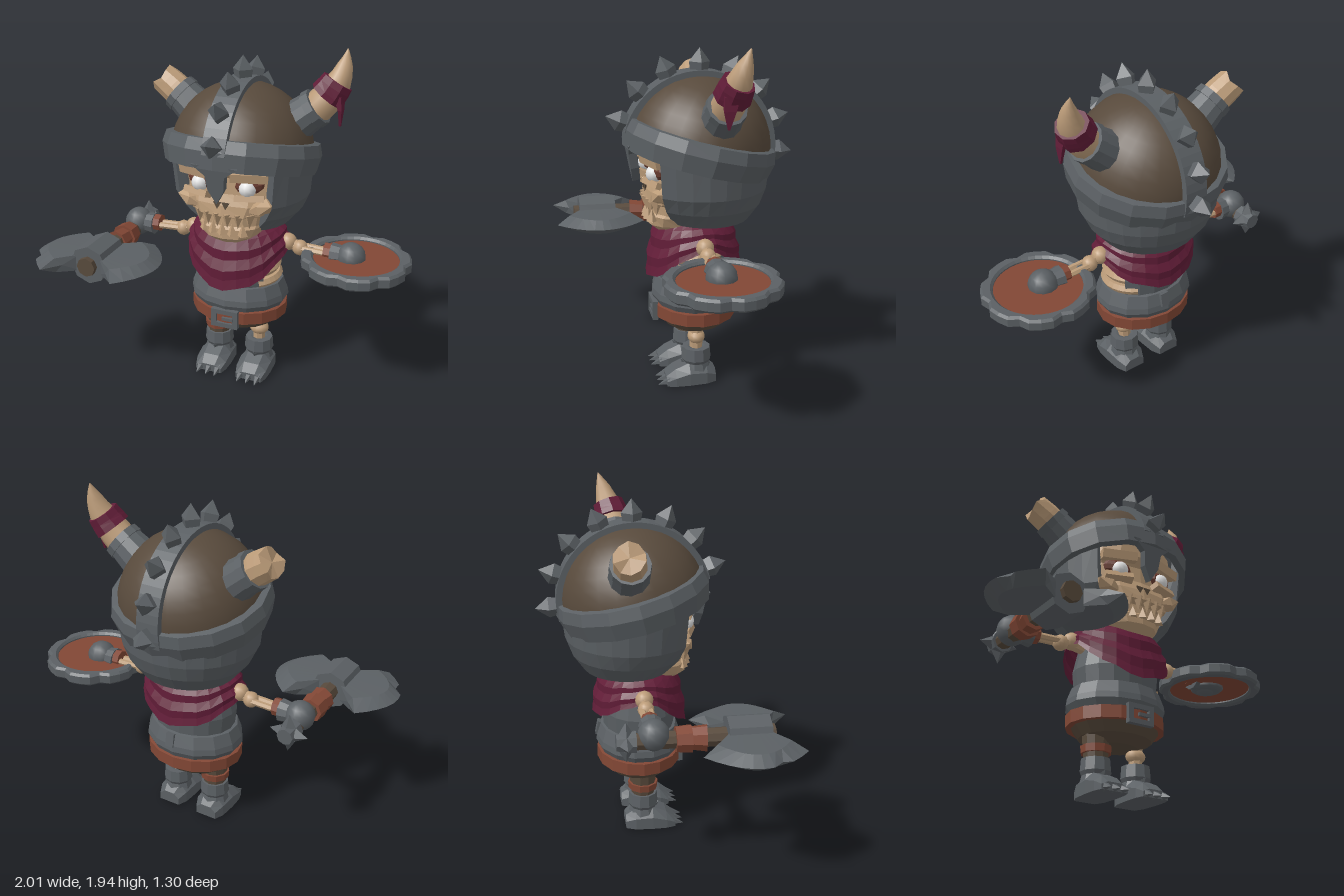
import * as THREE from 'three';

const mat = (name, color, side = THREE.FrontSide) => {
  const m = new THREE.MeshStandardMaterial({ color, side });
  m.name = name;
  return m;
};
const V = (x, y, z) => new THREE.Vector3(x, y, z);

export function createModel() {
  const steel = mat('steel', 0x5b6064), hide = mat('dark hide', 0x584a3c), bone = mat('bone', 0xbc9c79);
  const leather = mat('leather', 0x824735), cloth = mat('wine cloth', 0x621d38, THREE.DoubleSide);
  const white = mat('eye white', 0xe4e4e4), socket = mat('socket', 0x6a3c30);

  const root = new THREE.Group();
  root.name = 'skeletonWarrior';
  const body = new THREE.Group();
  body.name = 'body';
  body.position.x = 0.025;
  root.add(body);

  const add = (parent, name, geo, m, pos = [0, 0, 0], rot = [0, 0, 0], scale = [1, 1, 1], smooth = false) => {
    if (!smooth) {
      geo = geo.index ? geo.toNonIndexed() : geo;
      geo.computeVertexNormals();
    }
    const mesh = new THREE.Mesh(geo, m);
    mesh.name = name;
    mesh.position.set(...pos);
    mesh.rotation.set(...rot);
    mesh.scale.set(...scale);
    parent.add(mesh);
    return mesh;
  };
  const lathe = (pts, n = 16, start = 0, len = Math.PI * 2) =>
    new THREE.LatheGeometry(pts.map(p => new THREE.Vector2(...p)), n, start, len);
  const rod = (parent, name, a, b, r1, r2, m, sides = 8) => {
    const A = V(...a), B = V(...b), mesh = add(parent, name, new THREE.CylinderGeometry(r2, r1, A.distanceTo(B), sides), m);
    mesh.position.copy(A).lerp(B, 0.5);
    mesh.quaternion.setFromUnitVectors(V(0, 1, 0), B.sub(A).normalize());
    return mesh;
  };
  const ball = (parent, name, pos, r, m, scale) =>
    add(parent, name, new THREE.SphereGeometry(r, 12, 8), m, pos, [0, 0, 0], scale, true);

  // Skin closed rings of points; capped solids are turned outwards by their volume
  const loft = (rings, caps = true) => {
    const n = rings[0].length, P = rings.flat().map(p => V(...p)), idx = [];
    for (let i = 0; i < rings.length - 1; i++) for (let j = 0; j < n; j++) {
      const a = i * n + j, b = i * n + (j + 1) % n;
      idx.push(a, b, a + n, b, b + n, a + n);
    }
    if (caps) for (const [o, flip] of [[0, true], [(rings.length - 1) * n, false]]) {
      const c = V(0, 0, 0);
      for (let j = 0; j < n; j++) c.addScaledVector(P[o + j], 1 / n);
      P.push(c);
      for (let j = 0; j < n; j++) {
        const a = o + j, b = o + (j + 1) % n;
        idx.push(...(flip ? [b, a] : [a, b]), P.length - 1);
      }
    }
    let vol = 0;
    for (let i = 0; i < idx.length; i += 3) vol += P[idx[i]].dot(P[idx[i + 1]].clone().cross(P[idx[i + 2]]));
    if (vol < 0) idx.reverse();
    const g = new THREE.BufferGeometry().setFromPoints(P);
    g.setIndex(idx);
    g.computeVertexNormals();
    return g;
  };
  // Round tube with a radius at each path point
  const taper = (pts, radii, sides = 10, steps = 8, jag = 0) => {
    const curve = new THREE.CatmullRomCurve3(pts.map(p => V(...p))), rings = [];
    for (let i = 0; i <= steps; i++) {
      const t = i / steps, f = t * (radii.length - 1), k = Math.min(Math.floor(f), radii.length - 2);
      const r = THREE.MathUtils.lerp(radii[k], radii[k + 1], f - k), c = curve.getPoint(t), T = curve.getTangent(t);
      const N = V(0, 0, 1).cross(T).normalize(), B = T.clone().cross(N);
      rings.push(Array.from({ length: sides }, (_, j) => {
        const a = j / sides * Math.PI * 2, p = c.clone().addScaledVector(N, r * Math.cos(a)).addScaledVector(B, r * Math.sin(a));
        return p.addScaledVector(T, i === steps ? jag * (j % 3 - 1) : 0).toArray();
      }));
    }
    return loft(rings);
  };

  // Helmet: tilted crown with brim, ridge and spikes
  const helmet = new THREE.Group();
  helmet.name = 'helmet';
  helmet.position.set(0, 1.34, -0.11);
  helmet.rotation.x = -0.25;
  body.add(helmet);
  add(helmet, 'crown', new THREE.SphereGeometry(0.4, 24, 10, 0, Math.PI * 2, 0, Math.PI / 2), hide, [0, 0, 0], [0, 0, 0], [1, 1, 1], true);
  add(helmet, 'brim', lathe([[0.385, -0.075], [0.425, -0.075], [0.447, 0.02], [0.43, 0.085], [0.385, 0.09], [0.385, -0.075]]), steel, [0, 0, 0], [0, 0, 0], [1, 1, 0.97]);
  const arch = new THREE.Shape();
  arch.absarc(0, 0, 0.425, 0, Math.PI);
  arch.absarc(0, 0, 0.37, Math.PI, 0, true);
  add(helmet, 'ridge', new THREE.ExtrudeGeometry(arch, { depth: 0.13, bevelEnabled: false, curveSegments: 14 }), steel, [0.065, 0, 0], [0, -Math.PI / 2, 0]);
  for (let i = 0; i < 8; i++) {
    const a = (6 + i * 23.5) * Math.PI / 180;
    add(helmet, 'ridgeSpike', lathe([[0, -0.03], [0.045, -0.02], [0.058, 0.05], [0, 0.125]], 4), steel,
      [0, 0.415 * Math.sin(a), 0.415 * Math.cos(a)], [Math.PI / 2 - a, 0, 0]);
  }

  // Cheek and neck guard wrapping the back, open at the face
  const guardRows = [[0.405, 1.36, 46], [0.385, 1.13, 44], [0.345, 1.04, 40], [0.27, 0.95, 33]];
  const guard = [];
  for (let i = 0; i <= 20; i++) {
    const pt = ([r, y, open], row, inset) => {
      const a = (open + i / 20 * (360 - 2 * open)) * Math.PI / 180, z = (r - inset) * (0.97 - 0.02 * row) * Math.cos(a);
      return [(r - inset) * Math.sin(a), y + (row === 0 ? 0.25 * z : 0), -0.115 - 0.012 * row + z];
    };
    guard.push([...guardRows.map((g, k) => pt(g, k, 0)), ...guardRows.map((g, k) => pt(g, k, 0.05)).reverse()]);
  }
  add(body, 'neckGuard', loft(guard), steel);
  const nose = new THREE.Shape([[-0.13, 0.225], [-0.055, 0.165], [-0.045, 0.08], [0, 0], [0.045, 0.08], [0.055, 0.165], [0.13, 0.225]].map(p => new THREE.Vector2(...p)));
  add(body, 'noseGuard', new THREE.ExtrudeGeometry(nose, { depth: 0.045, bevelEnabled: false }), steel, [0, 1.17, 0.21], [0.17, 0, 0]);

  // Horns: one whole with a cloth wrap, one broken
  for (const s of [-1, 1]) {
    rod(body, 'hornCollar', [s * 0.25, 1.5, -0.16], [s * 0.39, 1.615, -0.17], 0.12, 0.1, steel, 12);
    rod(body, 'hornCollarRim', [s * 0.375, 1.603, -0.168], [s * 0.41, 1.63, -0.17], 0.11, 0.106, steel, 12);
  }
  add(body, 'wholeHorn', taper([[0.36, 1.58, -0.165], [0.44, 1.66, -0.175], [0.505, 1.76, -0.2], [0.53, 1.85, -0.225], [0.535, 1.93, -0.25]], [0.09, 0.087, 0.07, 0.042, 0.003]), bone, [0, 0, 0], [0, 0, 0], [1, 1, 1], true);
  add(body, 'brokenHorn', taper([[-0.36, 1.585, -0.165], [-0.43, 1.64, -0.175], [-0.505, 1.69, -0.185]], [0.088, 0.088, 0.083], 10, 4, 0.014), bone);
  add(body, 'hornWrap', taper([[0.452, 1.685, -0.18], [0.478, 1.72, -0.187], [0.503, 1.765, -0.2]], [0.1, 0.096, 0.088], 9, 3), cloth);
  add(body, 'wrapTail', loft([[[0.5, 1.72, -0.12], [0.545, 1.7, -0.12], [0.545, 1.7, -0.2], [0.5, 1.72, -0.2]], [[0.53, 1.63, -0.12], [0.55, 1.63, -0.12], [0.55, 1.63, -0.18], [0.53, 1.63, -0.18]], [[0.535, 1.54, -0.14], [0.545, 1.54, -0.14], [0.545, 1.54, -0.15], [0.535, 1.54, -0.15]]]), cloth);

  // Skull with sockets, eyes, nose hole and jagged teeth
  const sp = (v, e) => Math.sign(v) * Math.abs(v) ** e;
  const skullRows = [[0.89, 0.12, 0.13], [0.93, 0.17, 0.18], [0.985, 0.2, 0.18], [1.0, 0.2, 0.16], [1.05, 0.21, 0.16], [1.07, 0.24, 0.2], [1.13, 0.28, 0.19], [1.19, 0.28, 0.165], [1.28, 0.27, 0.16], [1.33, 0.29, 0.2], [1.42, 0.27, 0.2]];
  add(body, 'skull', loft(skullRows.map(([y, hx, zf]) => Array.from({ length: 14 }, (_, k) => {
    const a = k / 14 * Math.PI * 2;
    return [hx * sp(Math.sin(a), 0.8), y, -0.05 + (zf + 0.05) * sp(Math.cos(a), 0.75)];
  }))), bone);
  for (const s of [-1, 1]) {
    add(body, 'eyeSocket', new THREE.SphereGeometry(0.085, 10, 6), socket, [s * 0.145, 1.25, 0.14], [0, s * 0.3, s * 0.15], [0.95, 0.6, 0.4]);
    ball(body, 'eyeball', [s * 0.137, 1.235, 0.155], 0.048, white);
    add(body, 'browBone', new THREE.BoxGeometry(0.2, 0.05, 0.07), bone, [s * 0.15, 1.312, 0.165], [0.2, s * 0.3, s * -0.08]);
    add(body, 'lowerLid', new THREE.BoxGeometry(0.16, 0.035, 0.05), bone, [s * 0.15, 1.183, 0.165], [-0.4, s * 0.3, s * 0.12]);
    add(body, 'cheekBone', new THREE.IcosahedronGeometry(0.08, 0), bone, [s * 0.2, 1.125, 0.12], [0, 0, s * 0.35], [1.1, 0.6, 0.9]);
    add(body, 'nostril', new THREE.CylinderGeometry(0.026, 0.026, 0.008, 3), hide, [s * 0.024, 1.135, 0.188], [Math.PI / 2, 0, 0]);
  }
  for (let i = 0; i < 6; i++) {
    const x = (i - 2.5) * 0.058, z = 0.18 - x * x * 1.6;
    add(body, 'upperTooth', new THREE.ConeGeometry(0.034, 0.085, 4), bone, [x, 1.042, z], [Math.PI, 0, 0]);
    if (i < 5) add(body, 'lowerTooth', new THREE.ConeGeometry(0.03, 0.07, 4), bone, [x + 0.029, 0.997, z]);
  }

  // Torso: oval shells, torn open over the ribs on the left
  const torso = new THREE.Group();
  torso.name = 'torso';
  torso.position.z = -0.09;
  torso.scale.z = 0.84;
  body.add(torso);
  add(torso, 'hips', lathe([[0, 0.285], [0.13, 0.29], [0.21, 0.33], [0.255, 0.39]]), hide);
  add(torso, 'belt', lathe([[0.24, 0.385], [0.284, 0.385], [0.284, 0.455], [0.25, 0.46]]), leather);
  add(torso, 'waistPlate', lathe([[0.25, 0.455], [0.27, 0.46], [0.29, 0.495], [0.285, 0.53], [0.258, 0.6], [0.2, 0.61]], 14), steel);
  add(torso, 'core', lathe([[0.17, 0.5], [0.185, 0.7], [0.15, 0.88], [0, 0.95]], 12), steel);
  const shell = [[0.19, 0.58], [0.237, 0.58], [0.25, 0.7], [0.22, 0.83], [0.1, 0.95], [0.19, 0.8], [0.2, 0.6], [0.19, 0.58]];
  add(torso, 'chestPlate', lathe(shell, 14, 2.15, Math.PI * 2 - 1.25), steel);
  [0.625, 0.69, 0.76].forEach((y, i) =>
    add(torso, 'rib', new THREE.TorusGeometry(0.222 - i * 0.008, 0.031, 6, 10, 1.7), bone, [0, y, 0], [Math.PI / 2 + 0.05, 0, -0.9]));
  const buckle = new THREE.Shape([[-0.08, -0.055], [0.08, -0.055], [0.08, 0.055], [-0.08, 0.055]].map(p => new THREE.Vector2(...p)));
  buckle.holes.push(new THREE.Path([[-0.05, -0.028], [-0.05, 0.028], [0.05, 0.028], [0.05, -0.028]].map(p => new THREE.Vector2(...p))));
  add(body, 'buckle', new THREE.ExtrudeGeometry(buckle, { depth: 0.03, bevelEnabled: false }), steel, [0, 0.415, 0.13]);
  add(body, 'bucklePin', new THREE.BoxGeometry(0.07, 0.018, 0.02), steel, [0.02, 0.415, 0.152]);
  add(body, 'backStrap', new THREE.BoxGeometry(0.05, 0.08, 0.04), steel, [0.02, 0.56, -0.31], [0.2, 0, 0]);

  // Scarf hanging in a point at the front and the back
  const scarf = [];
  for (let j = 0; j <= 6; j++) scarf.push(Array.from({ length: 24 }, (_, k) => {
    const a = k / 24 * Math.PI * 2, c = Math.cos(a), s = j / 6;
    const low = 0.83 - 0.22 * Math.max(0, c) ** 1.4 - 0.15 * Math.max(0, -c) ** 1.4 + (k % 3 === 1 ? 0.012 : 0);
    const r = 0.19 + 0.115 * Math.sqrt(s) + (j === 2 || j === 4 ? 0.014 : 0);
    return [r * Math.sin(a), THREE.MathUtils.lerp(0.96, low, s), -0.085 + r * 0.88 * c];
  }));
  add(body, 'scarf', loft(scarf, false), cloth);

  // Arms with wrist straps and gauntlets
  for (const s of [-1, 1]) {
    rod(body, 'upperArm', [s * 0.18, 0.82, -0.09], [s * 0.35, 0.84, -0.09], 0.035, 0.03, bone);
    ball(body, 'shoulder', [s * 0.29, 0.85, -0.09], 0.05, bone);
    ball(body, 'elbow', [s * 0.36, 0.825, -0.09], 0.045, bone);
    for (const d of [-0.022, 0.022]) rod(body, 'forearm', [s * 0.37, 0.83, -0.09 + d], [s * 0.6, 0.82, -0.09 + d], 0.018, 0.018, bone, 6);
    rod(body, 'wristStrap', [s * 0.505, 0.83, -0.09], [s * 0.545, 0.83, -0.09], 0.05, 0.05, leather);
    rod(body, 'gauntletCuff', [s * 0.545, 0.82, -0.09], [s * 0.61, 0.82, -0.09], 0.065, 0.055, steel, 10);
    ball(body, 'gauntlet', [s * 0.655, 0.82, -0.09], 0.083, steel);
  }

  // Double axe pointing forward
  const axe = new THREE.Group();
  axe.name = 'axe';
  axe.position.set(-0.66, 0.79, 0);
  body.add(axe);
  rod(axe, 'handle', [0, 0, -0.2], [0, 0, 0.53], 0.045, 0.055, hide);
  rod(axe, 'axeHub', [0, 0, 0.28], [0, 0, 0.5], 0.11, 0.11, steel);
  rod(axe, 'gripWrap', [0, 0, 0.02], [0, 0, 0.1], 0.068, 0.075, leather);
  rod(axe, 'gripWrap', [0.005, 0, 0.1], [-0.005, 0, 0.18], 0.06, 0.07, leather);
  rod(axe, 'pommel', [0, 0, -0.28], [0, 0, -0.18], 0.045, 0.06, steel);
  for (let i = 0; i < 4; i++) {
    const a = i * Math.PI / 2;
    rod(axe, 'pommelSpike', [0.04 * Math.cos(a), 0.04 * Math.sin(a), -0.23], [0.11 * Math.cos(a), 0.11 * Math.sin(a), -0.23], 0.04, 0, steel, 4);
  }
  for (const s of [-1, 1]) {
    const rings = [];
    for (let i = 0; i <= 10; i++) {
      const v = i / 5 - 1, notch = i === 7 && s < 0 ? 0.03 : 0, mid = 0.3 - 0.13 * v * v;
      rings.push([[0.06, 0.048, 0.1 * v], [mid, 0.042, 0.185 * v], [0.365 - 0.15 * v * v - notch, 0, 0.262 * v], [mid, -0.042, 0.185 * v], [0.06, -0.048, 0.1 * v]]
        .map(([x, y, z]) => [s * x, y, 0.385 + z]));
    }
    add(axe, 'axeBlade', loft(rings), steel);
  }

  // Round shield held flat
  const shield = new THREE.Group();
  shield.name = 'shield';
  shield.position.set(0.685, 0.765, -0.09);
  body.add(shield);
  const rim = new THREE.Shape(Array.from({ length: 32 }, (_, i) => {
    const a = (i + 0.5) / 32 * Math.PI * 2, r = i % 4 === 0 ? 0.266 : 0.29;
    return new THREE.Vector2(r * Math.cos(a), r * Math.sin(a));
  }));
  rim.holes.push(new THREE.Path().absarc(0, 0, 0.25, 0, Math.PI * 2, true));
  add(shield, 'shieldRim', new THREE.ExtrudeGeometry(rim, { depth: 0.045, bevelThickness: 0.013, bevelSize: 0.013, bevelSegments: 1, curveSegments: 20 }), steel, [0, 0.057, 0], [Math.PI / 2, 0, 0]);
  add(shield, 'shieldBoard', new THREE.CylinderGeometry(0.245, 0.245, 0.03, 20), leather, [0, 0.035, 0]);
  ball(shield, 'shieldBoss', [-0.02, 0.02, 0], 0.1, steel, [1, 0.35, 1]);

  // Legs and clawed boots
  rod(body, 'wrappedLeg', [-0.128, 0.18, -0.08], [-0.128, 0.35, -0.08], 0.065, 0.08, hide, 10);
  rod(body, 'legStrap', [-0.128, 0.235, -0.08], [-0.128, 0.275, -0.08], 0.083, 0.086, leather, 10);
  rod(body, 'shinBone', [0.128, 0.15, -0.08], [0.128, 0.32, -0.08], 0.035, 0.04, bone);
  ball(body, 'kneeKnob', [0.128, 0.265, -0.08], 0.05, bone, [1.15, 0.85, 1]);
  for (const s of [-1, 1]) {
    const boot = new THREE.Group();
    boot.name = 'boot';
    boot.position.set(s * 0.128, 0, -0.08);
    body.add(boot);
    add(boot, 'bootShaft', lathe([[0.07, 0.03], [0.088, 0.07], [0.075, 0.115], [0.086, 0.135], [0.08, 0.205], [0.05, 0.205], [0, 0.19]], 10), steel);
    const foot = [[-0.105, 0.065, 0.07], [-0.05, 0.088, 0.11], [0.05, 0.095, 0.12], [0.13, 0.093, 0.085], [0.18, 0.08, 0.045]];
    add(boot, 'foot', loft(foot.map(([z, w, h]) => [[-w, 0, z], [-w, h * 0.6, z], [-w * 0.5, h, z], [w * 0.5, h, z], [w, h * 0.6, z], [w, 0, z]])), steel);
    for (const k of [-1, 0, 1]) rod(boot, 'toeClaw', [k * 0.052, 0.022, 0.16], [k * 0.056, 0.006, 0.228], 0.028, 0.002, steel, 5);
    add(boot, 'bootStud', new THREE.ConeGeometry(0.035, 0.06, 4), steel, [0, 0.115, 0.07], [0.9, 0, 0]);
  }
  return root;
}
